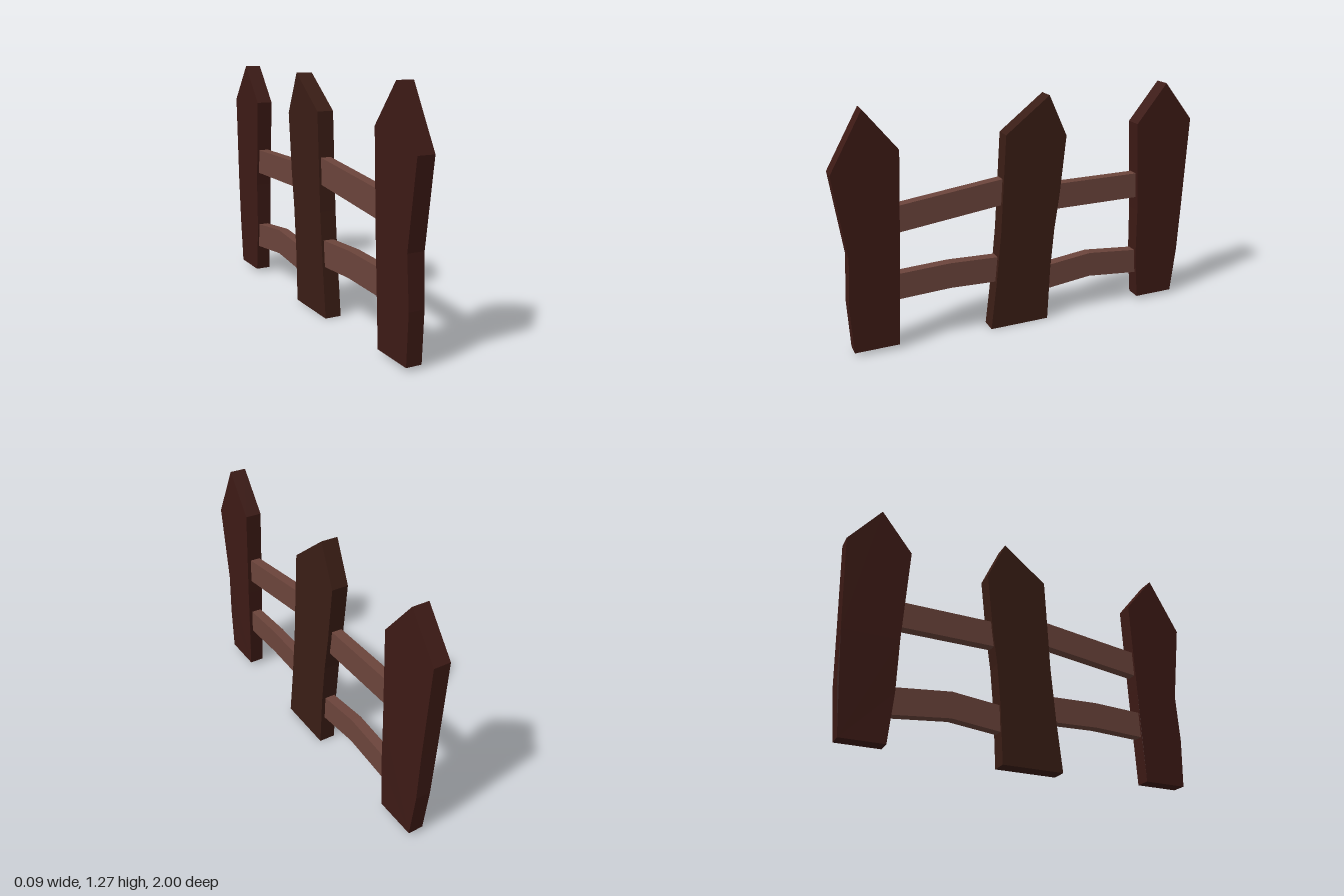
import * as THREE from 'three';

const material = (color) => new THREE.MeshStandardMaterial({ color, flatShading: true });

// Extrude an outline given as [z, y] points across x, from x0 to x1.
function plank(name, points, x0, x1, mat) {
  const shape = new THREE.Shape(points.map(([z, y]) => new THREE.Vector2(z, y)));
  const geo = new THREE.ExtrudeGeometry(shape, { depth: x1 - x0, bevelEnabled: false });
  geo.rotateY(-Math.PI / 2).translate(x1, 0, 0);
  const mesh = new THREE.Mesh(geo, mat);
  mesh.name = name;
  return mesh;
}

// Slim the lower half of a picket slightly.
function slimFoot(mesh) {
  const p = mesh.geometry.attributes.position;
  for (let i = 0; i < p.count; i++) if (p.getY(i) < 0.5) p.setX(i, p.getX(i) * 0.92);
  mesh.geometry.computeVertexNormals();
  return mesh;
}

// A rail follows a centre line of [z, y] points at constant height.
function rail(name, line, mat) {
  const h = 0.07;
  const lower = line.map(([z, y]) => [z, y - h]);
  const upper = line.map(([z, y]) => [z, y + h]).reverse();
  return plank(name, [...lower, ...upper], -0.032, 0.024, mat);
}

export function createModel() {
  const group = new THREE.Group();
  group.name = 'picketFence';
  const outerWood = material(0x3d1a15);
  const middleWood = material(0x3a1d15);
  const railWood = material(0x6b443b);

  // Crooked pointed pickets
  const frontPicket = [[0.95, 0.02], [0.714, 0.02], [0.7, 0.28], [0.687, 0.55], [0.663, 1.06],
    [0.83, 1.27], [1, 0.97], [0.943, 0.54], [0.96, 0.28]];
  const middlePicket = [[0.205, 0], [-0.13, 0], [-0.145, 0.3], [-0.167, 0.53], [-0.195, 0.72],
    [-0.23, 1.04], [-0.13, 1.26], [0.11, 1.075], [0.142, 0.56], [0.17, 0.28]];
  const backPicket = [[-0.715, 0.02], [-0.943, 0.02], [-0.97, 0.28], [-0.98, 0.56], [-1, 1.06],
    [-0.83, 1.27], [-0.66, 1.06], [-0.687, 0.56], [-0.692, 0.28]];
  group.add(
    slimFoot(plank('frontPicket', frontPicket, -0.045, 0.045, outerWood)),
    plank('middlePicket', middlePicket, -0.045, 0.045, middleWood),
    slimFoot(plank('backPicket', backPicket, -0.045, 0.045, outerWood)),
  );

  // Rails, with their ends sunk into the pickets
  group.add(
    rail('upperFrontRail', [[0.1, 0.773], [0.72, 0.697]], railWood),
    rail('lowerFrontRail', [[0.12, 0.338], [0.42, 0.35], [0.72, 0.338]], railWood),
    rail('upperBackRail', [[-0.72, 0.704], [-0.14, 0.704]], railWood),
    rail('lowerBackRail', [[-0.72, 0.238], [-0.4, 0.27], [-0.11, 0.238]], railWood),
  );
  return group;
}
